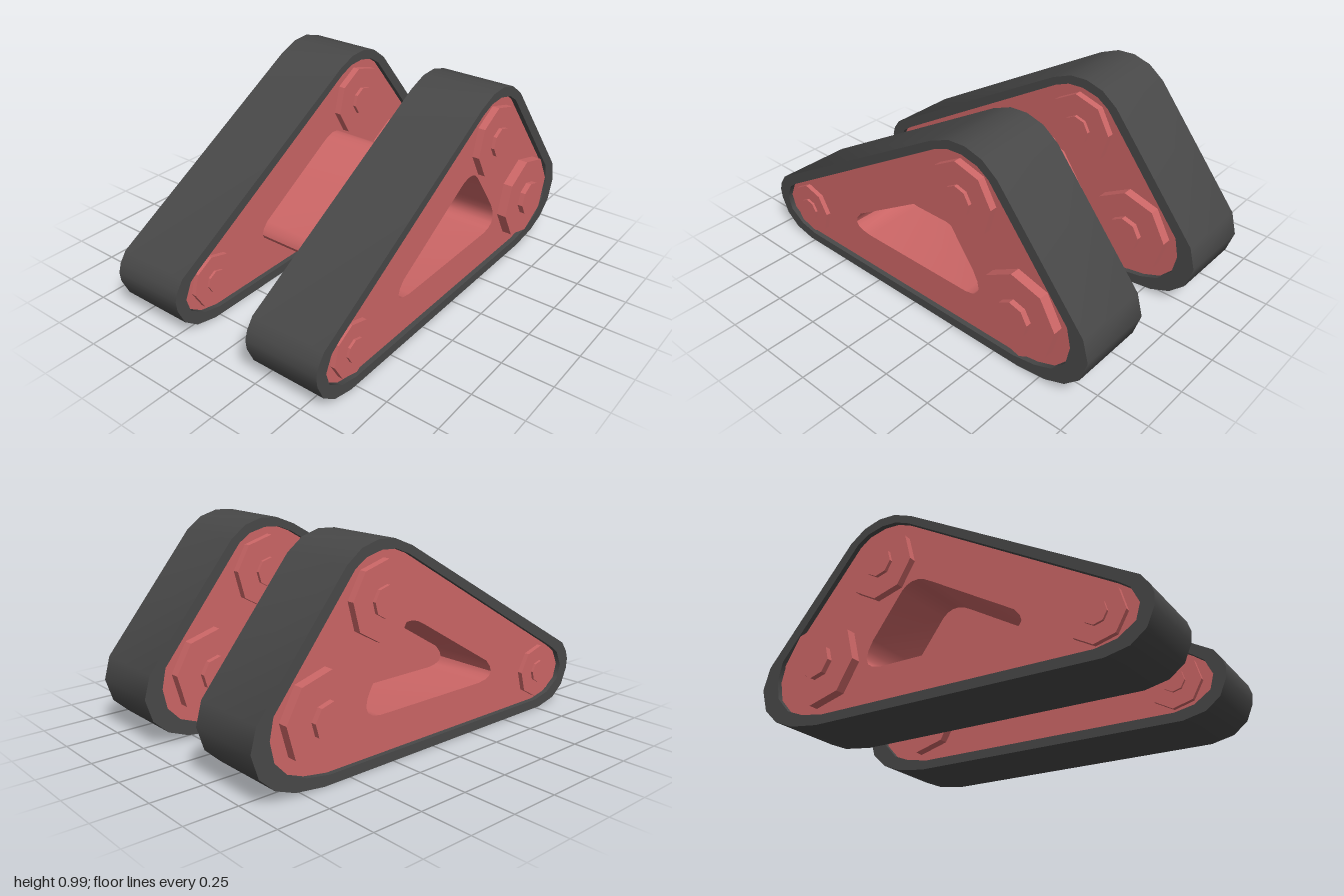
import * as THREE from 'three';
import { toCreasedNormals } from 'three/addons/utils/BufferGeometryUtils.js';

const red = new THREE.MeshStandardMaterial({ color: 0xcc6666 });
const redFlat = new THREE.MeshStandardMaterial({ color: 0xcc6666, flatShading: true });
const rubber = new THREE.MeshStandardMaterial({ color: 0x484848 });

const TRACK_X = 0.4;

// Side outlines as [z, y]
const beltOuter = [
  [1, 0.21], [0.995, 0.16], [0.96, 0.08], [0.89, 0.025], [0.78, 0], [-0.64, 0],
  [-0.79, 0.02], [-0.89, 0.06], [-0.965, 0.13], [-1, 0.24], [-0.97, 0.35],
  [-0.52, 0.9], [-0.44, 0.96], [-0.35, 0.985], [-0.26, 0.98], [-0.16, 0.94],
  [0.95, 0.305], [0.985, 0.255],
];
const beltInner = [
  [0.94, 0.19], [0.92, 0.12], [0.84, 0.065], [0.745, 0.045], [-0.61, 0.045],
  [-0.73, 0.065], [-0.82, 0.1], [-0.89, 0.175], [-0.91, 0.27], [-0.89, 0.365],
  [-0.475, 0.88], [-0.415, 0.92], [-0.33, 0.94], [-0.25, 0.935], [-0.175, 0.905],
  [0.85, 0.305], [0.905, 0.265],
];

const points = (outline) => outline.map(([z, y]) => new THREE.Vector2(-z, y));

// Rounded triangle shared by the plate openings and the crossbeam
function roundedTriangle(ShapeClass) {
  const s = new ShapeClass();
  s.moveTo(0.31, 0.22);
  s.lineTo(-0.33, 0.22);
  s.quadraticCurveTo(-0.47, 0.23, -0.38, 0.32);
  s.lineTo(0.05, 0.575);
  s.quadraticCurveTo(0.15, 0.64, 0.21, 0.57);
  s.lineTo(0.36, 0.36);
  s.quadraticCurveTo(0.44, 0.23, 0.31, 0.22);
  return s;
}

// Extrude a side outline across x, centred on x = 0
function extrudeAcross(shape, width) {
  const g = new THREE.ExtrudeGeometry(shape, { depth: width, bevelEnabled: false, curveSegments: 5 });
  g.translate(0, 0, -width / 2);
  g.rotateY(Math.PI / 2);
  return toCreasedNormals(g, 0.75);
}

function add(parent, name, geometry, material) {
  const mesh = new THREE.Mesh(geometry, material);
  mesh.name = name;
  parent.add(mesh);
  return mesh;
}

// Eight-sided drum lying along x
function drum(radius, width, tilt) {
  const g = new THREE.CylinderGeometry(radius, radius, width, 8, 1, false, -tilt);
  return g.rotateZ(Math.PI / 2);
}

const wheels = [
  { name: 'frontWheel', z: 0.755, y: 0.195, r: 0.13, hub: 0.055, width: 0.376, hubWidth: 0.4 },
  { name: 'topWheel', z: -0.32, y: 0.727, r: 0.176, hub: 0.071, width: 0.4, hubWidth: 0.434 },
  { name: 'rearWheel', z: -0.64, y: 0.296, r: 0.208, hub: 0.085, width: 0.426, hubWidth: 0.48 },
];

function createTrack() {
  const track = new THREE.Group();

  // Rubber belt loop
  const belt = new THREE.Shape(points(beltOuter));
  belt.holes.push(new THREE.Path(points(beltInner)));
  add(track, 'belt', extrudeAcross(belt, 0.38), rubber);

  // Slightly recessed side plate with a triangular opening
  const plate = new THREE.Shape(points(beltInner));
  plate.holes.push(roundedTriangle(THREE.Path));
  add(track, 'sidePlate', extrudeAcross(plate, 0.33), red);

  // Wheels show on both faces of the plate
  for (const w of wheels) {
    const wheel = new THREE.Group();
    wheel.name = w.name;
    wheel.position.set(0, w.y, w.z);
    add(wheel, 'disc', drum(w.r, w.width, 0.12), redFlat);
    add(wheel, 'hub', drum(w.hub, w.hubWidth, 0.12), redFlat);
    track.add(wheel);
  }
  return track;
}

export function createModel() {
  const model = new THREE.Group();
  model.name = 'trackUnit';

  for (const side of [1, -1]) {
    const track = createTrack();
    track.name = side > 0 ? 'leftTrack' : 'rightTrack';
    track.position.x = side * TRACK_X;
    model.add(track);
  }

  // Beam joining the two tracks
  add(model, 'crossbeam', extrudeAcross(roundedTriangle(THREE.Shape), 0.48), red);
  return model;
}
